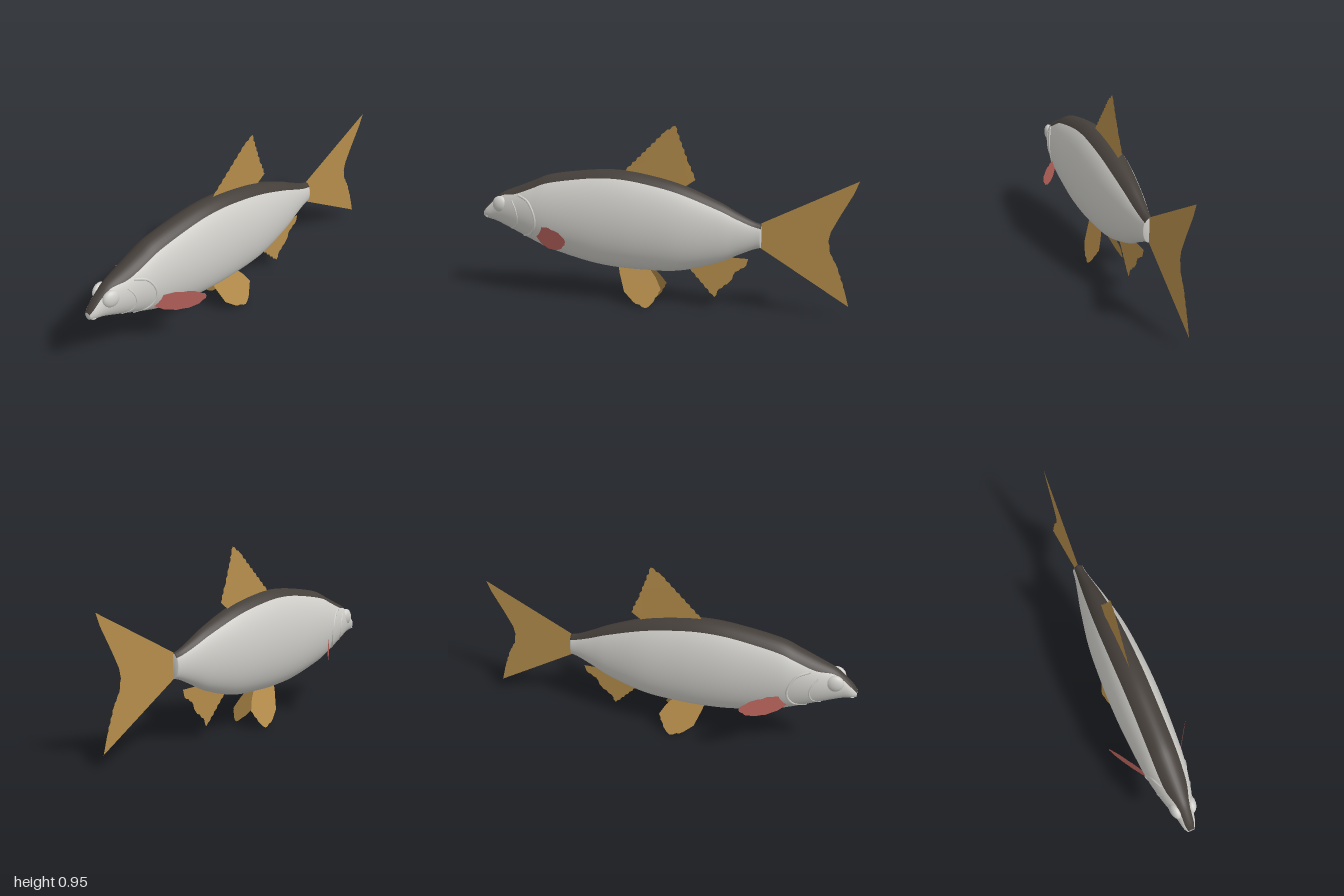
import * as THREE from 'three';

const mat = (name, color) => Object.assign(new THREE.MeshStandardMaterial({ color }), { name });
const silver = mat('silver scales', 0xcfcec9);
const dark = mat('dark back', 0x453f3a);
const amber = mat('amber fin', 0xb58d4b);
const red = mat('red fin', 0xb6615a);
amber.side = red.side = THREE.DoubleSide;

// Body stations: z, top, bottom, half width, half angle of the dark back
const stations = [
  [1.0, 0.457, 0.42, 0.018, 0.9], [0.975, 0.489, 0.411, 0.032, 0.8],
  [0.93, 0.53, 0.40, 0.043, 0.65], [0.88, 0.565, 0.38, 0.058, 0.6],
  [0.8, 0.597, 0.345, 0.08, 0.75], [0.7, 0.637, 0.30, 0.1, 0.68],
  [0.6, 0.675, 0.26, 0.111, 0.62], [0.4, 0.705, 0.21, 0.123, 0.55],
  [0.25, 0.714, 0.19, 0.126, 0.54], [0.1, 0.70, 0.185, 0.123, 0.55],
  [-0.1, 0.655, 0.195, 0.109, 0.58], [-0.3, 0.575, 0.25, 0.075, 0.65],
  [-0.4, 0.523, 0.297, 0.053, 0.72], [-0.48, 0.484, 0.333, 0.036, 0.8],
  [-0.525, 0.47, 0.347, 0.03, 0.85],
];
const spline = (a, b) => new THREE.CatmullRomCurve3(
  stations.map(s => new THREE.Vector3(s[0], s[a], s[b])), false, 'catmullrom', 0.5);
const heights = spline(1, 2), widths = spline(3, 4);

function section(t) {
  const p = heights.getPoint(t), q = widths.getPoint(t);
  return { z: p.x, cy: (p.y + p.z) / 2, h: (p.y - p.z) / 2, w: q.y, stripe: q.z };
}

// Half width of the flank at a given z and y
function flankX(z, y) {
  let lo = 0, hi = 1;
  for (let i = 0; i < 25; i++) {
    const m = (lo + hi) / 2;
    if (section(m).z > z) lo = m; else hi = m;
  }
  const s = section(lo), k = (y - s.cy) / s.h;
  return s.w * Math.sqrt(Math.max(0, 1 - k * k));
}

// Lofted body, with the columns of the back as a separate material group
function makeBody() {
  const rows = 84, back = 10, cols = 46, pos = [], backIdx = [], sideIdx = [];
  for (let i = -1; i <= rows + 1; i++) {
    const s = section(THREE.MathUtils.clamp(i / rows, 0, 1));
    const k = i < 0 || i > rows ? 0.001 : 1; // closes both ends
    for (let j = 0; j < cols; j++) {
      const a = j <= back ? -s.stripe + 2 * s.stripe * j / back
        : s.stripe + (2 * Math.PI - 2 * s.stripe) * (j - back) / (cols - back);
      pos.push(k * s.w * Math.sin(a), s.cy + k * s.h * Math.cos(a), s.z);
    }
  }
  for (let i = 0; i < rows + 2; i++) {
    for (let j = 0; j < cols; j++) {
      const n = (j + 1) % cols, a = i * cols + j, b = i * cols + n;
      const list = j < back && i > 0 && i <= rows ? backIdx : sideIdx;
      list.push(a, b, b + cols, a, b + cols, a + cols);
    }
  }
  const g = new THREE.BufferGeometry();
  g.setAttribute('position', new THREE.Float32BufferAttribute(pos, 3));
  g.setIndex([...backIdx, ...sideIdx]);
  g.addGroup(0, backIdx.length, 0);
  g.addGroup(backIdx.length, sideIdx.length, 1);
  g.computeVertexNormals();
  return new THREE.Mesh(g, [dark, silver]);
}

// Thin fin: a flat outline with a ragged stretch, placed in space by a rule
function makeFin(outline, from, to, jag, material, place) {
  const pts = [];
  outline.forEach(([u, v], i) => {
    const [u2, v2] = outline[(i + 1) % outline.length];
    const len = Math.hypot(u2 - u, v2 - v);
    pts.push(new THREE.Vector2(u, v));
    if (i < from || i >= to) return;
    const n = Math.max(2, Math.round(len / 0.018));
    for (let k = 1; k < n; k++) {
      const d = (k % 2 ? jag : -jag * 0.4) / len, f = k / n;
      pts.push(new THREE.Vector2(u + (u2 - u) * f + (v2 - v) * d, v + (v2 - v) * f - (u2 - u) * d));
    }
  });
  const g = new THREE.ShapeGeometry(new THREE.Shape(pts));
  const p = g.attributes.position;
  for (let i = 0; i < p.count; i++) p.setXYZ(i, ...place(p.getX(i), p.getY(i)));
  g.computeVertexNormals();
  return new THREE.Mesh(g, material);
}

export function createModel() {
  const fish = new THREE.Group();
  fish.name = 'fish';
  const add = (name, mesh) => { mesh.name = name; fish.add(mesh); return mesh; };

  add('body', makeBody());

  // Middle fins, outlined in z and y
  add('dorsalFin', makeFin([[0.2, 0.69], [0.19, 0.715], [-0.02, 0.92], [-0.075, 0.955],
    [-0.11, 0.85], [-0.145, 0.76], [-0.18, 0.68], [-0.115, 0.635], [0.05, 0.65]],
    1, 6, 0.005, amber, (z, y) => [Math.max(0, y - 0.7) * 0.04, y, z]));
  add('tailFin', makeFin([[-0.5, 0.46], [-0.53, 0.478], [-1.0, 0.714], [-0.975, 0.65],
    [-0.91, 0.53], [-0.87, 0.45], [-0.86, 0.4], [-0.872, 0.34], [-0.89, 0.305],
    [-0.905, 0.28], [-0.95, 0.155], [-0.973, 0.07], [-0.53, 0.34], [-0.5, 0.355]],
    6, 10, 0.003, amber, (z, y) => [0, y, z]));
  add('analFin', makeFin([[-0.13, 0.235], [-0.287, 0.064], [-0.31, 0.11], [-0.367, 0.155],
    [-0.395, 0.21], [-0.45, 0.245], [-0.46, 0.282], [-0.3, 0.285]],
    0, 5, -0.004, amber, (z, y) => [(0.25 - y) * 0.03, y, z]));

  for (const [side, sx] of [['left', 1], ['right', -1]]) {
    // Pelvic fins splay outwards below the belly
    add(side + 'PelvicFin', makeFin([[0.23, 0.2], [0.22, 0.165], [0.185, 0.075], [0.13, 0.03],
      [0.06, 0.004], [0.03, 0.027], [-0.013, 0.1], [0.02, 0.155], [0.06, 0.2]],
      3, 6, -0.003, amber, (z, y) => [sx * (0.025 + (0.187 - y) * 0.41), y, z]));

    // Pectoral fins, outlined in x and y and swept back
    add(side + 'PectoralFin', makeFin([[0.075, 0.345], [0.09, 0.392], [0.12, 0.408], [0.165, 0.406],
      [0.2, 0.386], [0.215, 0.365], [0.203, 0.335], [0.183, 0.312], [0.15, 0.302],
      [0.12, 0.307], [0.09, 0.327]],
      1, 10, -0.005, red, (x, y) => [sx * x, y, 0.672 - (x - 0.075) * 1.55]));

    // Eyes bulge from the sides of the head
    const eye = add(side + 'Eye', new THREE.Mesh(new THREE.SphereGeometry(1, 28, 18), silver));
    eye.scale.set(0.026, 0.045, 0.045);
    eye.position.set(sx * 0.041, 0.501, 0.889);
    eye.rotation.y = sx * -0.15;

    // Ridges of the gill cover and the cheek, following the flank
    for (const [name, dz, r, arc] of [
      ['GillCover', 0, 0.007, [[0.77, 0.56], [0.71, 0.535], [0.672, 0.47], [0.67, 0.41], [0.7, 0.36], [0.76, 0.335]]],
      ['Cheek', 0.01, 0.005, [[0.8, 0.53], [0.775, 0.49], [0.765, 0.44], [0.78, 0.395], [0.82, 0.37]]],
    ]) {
      const path = new THREE.CatmullRomCurve3(arc.map(([z, y]) =>
        new THREE.Vector3(sx * (flankX(z + dz, y) - 0.002), y, z + dz)));
      add(side + name, new THREE.Mesh(new THREE.TubeGeometry(path, 28, r, 8), silver));
    }
  }

  // Lips around the small mouth
  for (const [name, y, z] of [['upperLip', 0.445, 0.982], ['lowerLip', 0.425, 0.978]]) {
    const lip = add(name, new THREE.Mesh(new THREE.SphereGeometry(1, 20, 12), silver));
    lip.scale.set(0.028, 0.011, 0.018);
    lip.position.set(0, y, z);
  }
  return fish;
}
